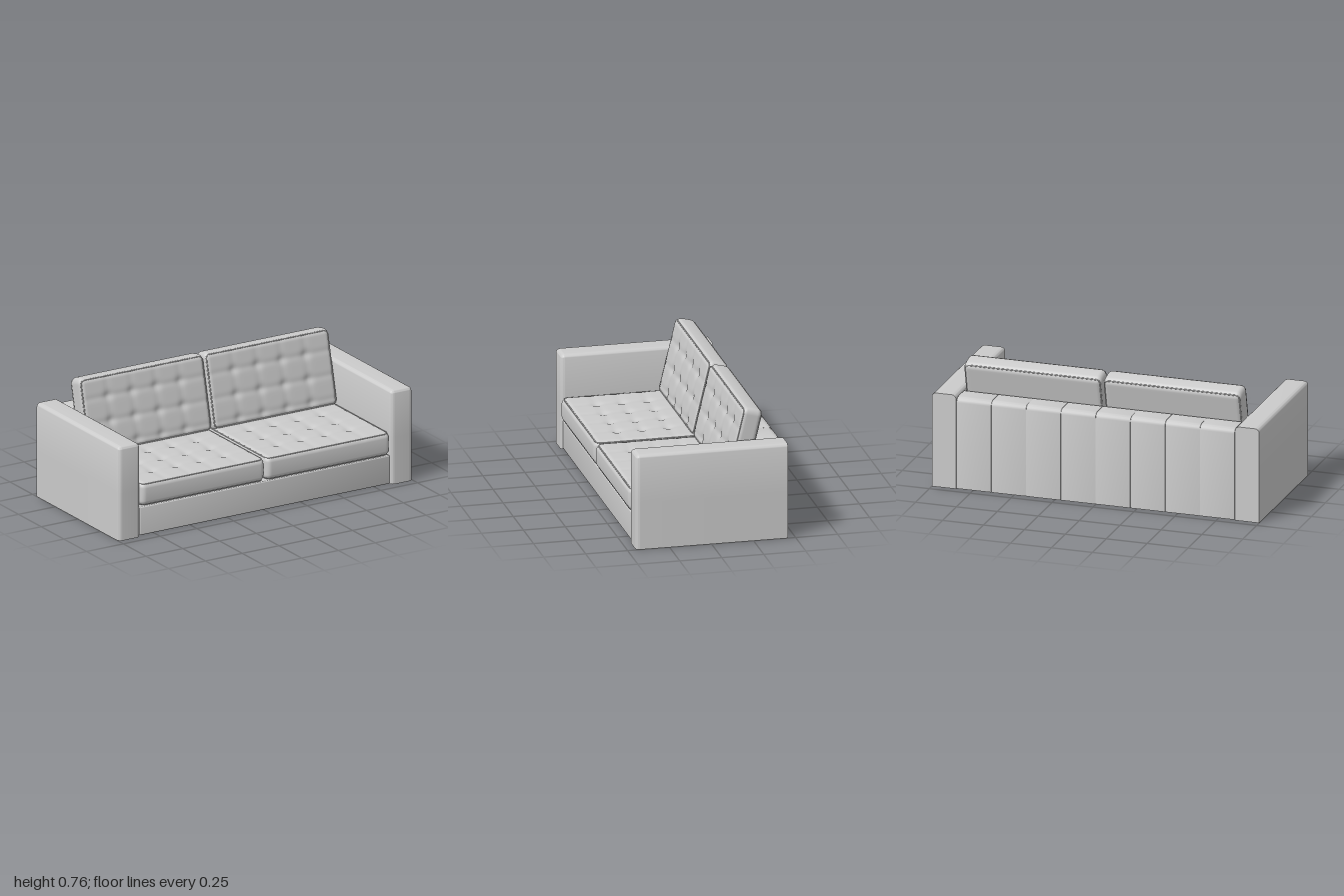
import * as THREE from 'three';
import { mergeVertices, toCreasedNormals } from 'three/addons/utils/BufferGeometryUtils.js';

const material = new THREE.MeshStandardMaterial({ color: 0xcccccc });

function add(parent, name, geometry, x = 0, y = 0, z = 0) {
  const mesh = new THREE.Mesh(geometry, material);
  mesh.name = name;
  mesh.position.set(x, y, z);
  parent.add(mesh);
  return mesh;
}

// Box with rounded edges; edges on the bottom and back can stay sharp.
// `inner` holds the segment counts of the flat areas, k those of each rounding.
function roundBox(size, r, inner, k, sharpBottomBack = false) {
  const n = inner.map((m) => m + 2 * k);
  const geo = new THREE.BoxGeometry(...size, ...n);
  const pos = geo.attributes.position;
  const offset = (i) => r * Math.tan((Math.PI / 4) * (i / k));
  for (let v = 0; v < pos.count; v++) {
    const core = new THREE.Vector3(), out = new THREE.Vector3();
    for (let a = 0; a < 3; a++) {
      const i = Math.round((pos.getComponent(v, a) / size[a] + 0.5) * n[a]);
      const lim = size[a] / 2 - r;
      const flat = -lim + (2 * lim * (i - k)) / inner[a];
      if (i < k) {
        if (sharpBottomBack && a > 0) core.setComponent(a, -lim - offset(k - i));
        else { core.setComponent(a, -lim); out.setComponent(a, -offset(k - i)); }
      } else if (i > n[a] - k) {
        core.setComponent(a, lim);
        out.setComponent(a, offset(i - n[a] + k));
      } else core.setComponent(a, flat);
    }
    core.add(out.setLength(out.length() > 0 ? r : 0));
    pos.setXYZ(v, core.x, core.y, core.z);
  }
  geo.deleteAttribute('uv');
  geo.deleteAttribute('normal');
  return mergeVertices(geo, 1e-5);
}

// Piping that follows a rounded rectangle in the xz plane
function pipingLoop(w, d, corner, radius) {
  const pts = [];
  const cx = w / 2 - corner, cz = d / 2 - corner;
  [[1, 1], [-1, 1], [-1, -1], [1, -1]].forEach(([sx, sz], q) => {
    for (let i = 0; i <= 5; i++) {
      const t = (q + i / 5) * Math.PI / 2;
      pts.push(new THREE.Vector3(sx * cx + corner * Math.cos(t), 0, sz * cz + corner * Math.sin(t)));
    }
  });
  const path = new THREE.CurvePath();
  pts.forEach((p, i) => path.add(new THREE.LineCurve3(p, pts[(i + 1) % pts.length])));
  return new THREE.TubeGeometry(path, 160, radius, 6, true);
}

// Button-tufted cushion, tufted on its +y face
function cushion(name, w, h, d, r, rows) {
  const group = new THREE.Group();
  group.name = name;
  const geo = roundBox([w, h, d], r, [50, 4, 42], 5);
  const pos = geo.attributes.position;
  const columns = [-0.245, -0.082, 0.082, 0.245];
  const bell = (t, s) => Math.exp(-(t * t) / (s * s));
  const sum = (list, f) => list.reduce((acc, c) => acc + f(c), 0);
  for (let v = 0; v < pos.count; v++) {
    const x = pos.getX(v), y = pos.getY(v), z = pos.getZ(v);
    const top = THREE.MathUtils.smoothstep(y, h / 2 - r, h / 2);
    const creases = sum(columns, (c) => bell(x - c, 0.018)) + sum(rows, (c) => bell(z - c, 0.018));
    const dimples = sum(columns, (c) => sum(rows, (q) => bell(Math.hypot(x - c, z - q), 0.028)));
    pos.setY(v, y - top * (0.003 * creases + 0.009 * dimples));
    // gently swollen front and back borders
    const swell = 0.006 * (1 - (2 * y / h) ** 2) * THREE.MathUtils.smoothstep(Math.abs(z), d / 2 - r, d / 2);
    pos.setZ(v, z + Math.sign(z) * swell);
  }
  geo.computeVertexNormals();
  add(group, 'padding', geo);
  const inset = 0.29 * r;
  for (const s of [-1, 1]) {
    add(group, 'piping', pipingLoop(w - 2 * inset, d - 2 * inset, r - inset, 0.004), 0, s * (h / 2 - inset), 0);
  }
  return group;
}

// One upholstered panel of the backrest: side profile extruded along x
function backPanel(width) {
  const b = 0.003, s = new THREE.Shape();
  s.moveTo(-0.31, 0.006);
  s.lineTo(-0.31, 0.54);
  s.quadraticCurveTo(-0.31, 0.557, -0.33, 0.557);
  s.lineTo(-0.415, 0.557);
  s.quadraticCurveTo(-0.452, 0.557, -0.452, 0.52);
  s.lineTo(-0.452, 0.006);
  const geo = new THREE.ExtrudeGeometry(s, {
    depth: width - 2 * b, bevelThickness: b, bevelSize: b, bevelSegments: 2, curveSegments: 8,
  });
  geo.translate(0, 0, -width / 2 + b);
  geo.rotateY(-Math.PI / 2); // profile x becomes depth
  geo.scale(-1, 1, 1);
  geo.rotateY(0);
  const pos = geo.attributes.position; // restore winding after the mirror
  for (let i = 0; i < pos.count; i += 3) {
    const a = new THREE.Vector3().fromBufferAttribute(pos, i + 1);
    const c = new THREE.Vector3().fromBufferAttribute(pos, i + 2);
    pos.setXYZ(i + 1, c.x, c.y, c.z);
    pos.setXYZ(i + 2, a.x, a.y, a.z);
  }
  geo.deleteAttribute('uv');
  return toCreasedNormals(geo, 0.6);
}

export function createModel() {
  const model = new THREE.Group();
  model.name = 'sofa';

  // Arms
  const armGeo = toCreasedNormals(roundBox([0.148, 0.575, 0.905], 0.026, [2, 2, 2], 5, true), 0.6);
  for (const s of [-1, 1]) add(model, s > 0 ? 'leftArm' : 'rightArm', armGeo, s * 0.926, 0.2875, -0.0025);

  // Base: front rail and recessed underside
  const railGeo = toCreasedNormals(roundBox([1.7, 0.175, 0.07], 0.008, [2, 2, 2], 3), 0.6);
  add(model, 'frontRail', railGeo, 0, 0.0915, 0.405);
  add(model, 'seatDeck', new THREE.BoxGeometry(1.7, 0.165, 0.7), 0, 0.0925, 0.03);

  // Backrest in eight panels
  const panelWidth = 1.7 / 8;
  const panelGeo = backPanel(panelWidth);
  for (let i = 0; i < 8; i++) add(model, 'backPanel', panelGeo, (i - 3.5) * panelWidth, 0, 0);

  // Seat and back cushions
  for (const s of [-1, 1]) {
    const side = s > 0 ? 'left' : 'right';
    const seat = cushion(side + 'SeatCushion', 0.843, 0.145, 0.72, 0.034, [-0.27, -0.115, 0.04, 0.19]);
    seat.position.set(s * 0.426, 0.2525, 0.09);
    const back = cushion(side + 'BackCushion', 0.843, 0.125, 0.45, 0.032, [-0.1, 0.045, 0.185]);
    back.position.set(s * 0.426, 0.525, -0.235);
    back.rotation.x = Math.PI / 2 - 0.235;
    model.add(seat, back);
  }
  return model;
}
